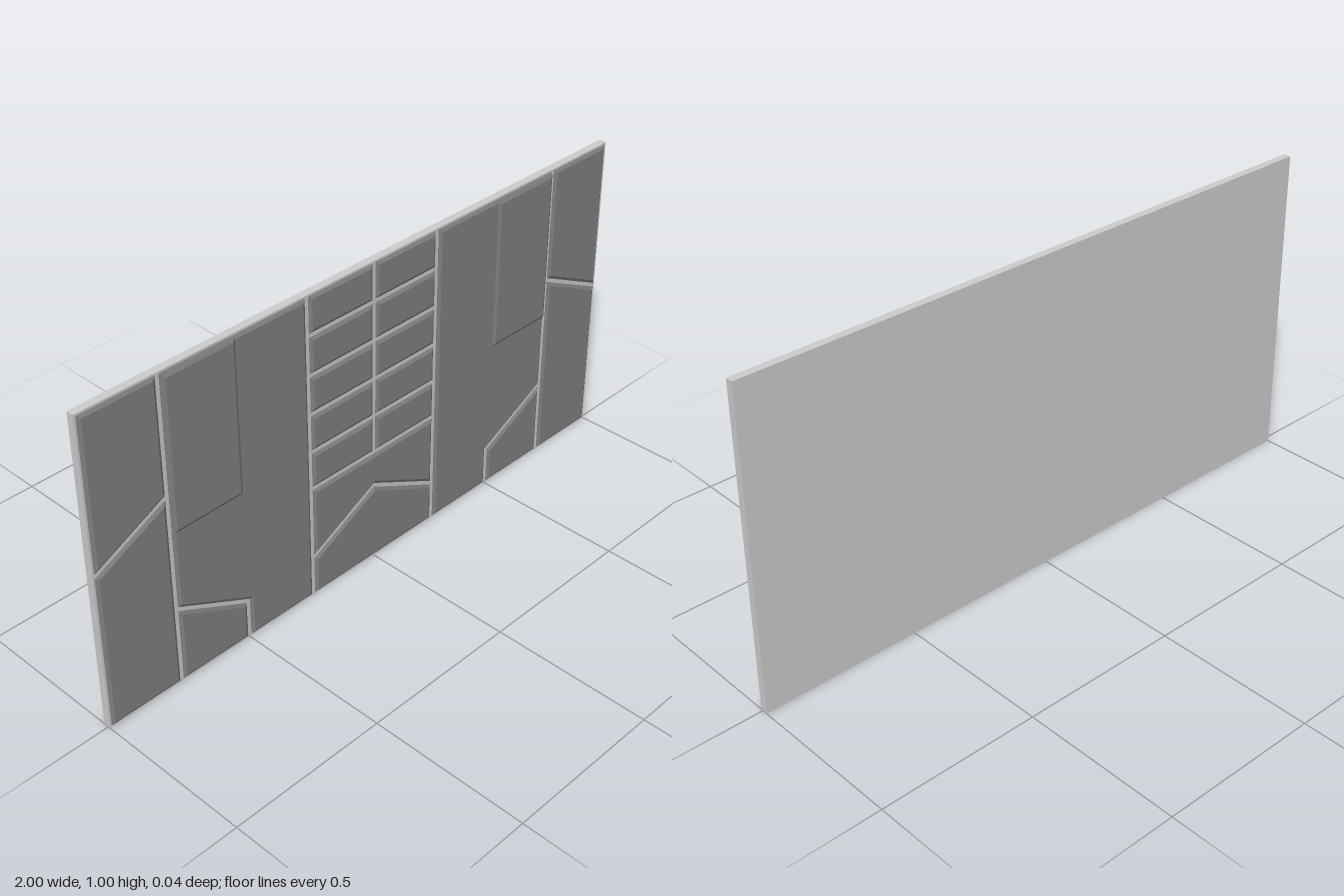
import * as THREE from 'three';

const BACK = -0.017, FACE = 0.007, PANEL = 0.013, PLATE = 0.018;
const GAP = 0.006, CHAMFER = 0.01;

// Move every edge of a counter-clockwise outline inward by t
function inset(pts, t) {
  const n = pts.length;
  const normal = (i) => {
    const a = pts[i % n], b = pts[(i + 1) % n];
    return new THREE.Vector2(a.y - b.y, b.x - a.x).normalize();
  };
  return pts.map((p, i) => {
    const n1 = normal(i + n - 1), n2 = normal(i);
    const k = t / (1 + n1.dot(n2));
    return p.clone().add(n1.add(n2).multiplyScalar(k));
  });
}

// Flat panel with chamfered sides, open at the back where it meets the slab
function panelGeometry(outline, z0, z1) {
  const low = inset(outline, GAP), high = inset(outline, GAP + CHAMFER);
  const pos = [];
  const put = (p, z) => pos.push(p.x, p.y, z);
  low.forEach((a, i) => {
    const j = (i + 1) % low.length;
    put(a, z0); put(low[j], z0); put(high[j], z1);
    put(a, z0); put(high[j], z1); put(high[i], z1);
  });
  for (const tri of THREE.ShapeUtils.triangulateShape(high, [])) {
    tri.forEach((k) => put(high[k], z1));
  }
  const geo = new THREE.BufferGeometry();
  geo.setAttribute('position', new THREE.Float32BufferAttribute(pos, 3));
  geo.computeVertexNormals();
  return geo;
}

export function createModel() {
  const group = new THREE.Group();
  const grey = new THREE.MeshStandardMaterial({ color: 0xcccccc });
  const dark = new THREE.MeshStandardMaterial({ color: 0x808080 });

  const addPanel = (name, coords, z0 = FACE, z1 = PANEL) => {
    const outline = coords.map(([x, y]) => new THREE.Vector2(x, y));
    const mesh = new THREE.Mesh(panelGeometry(outline, z0, z1), dark);
    mesh.name = name;
    group.add(mesh);
  };
  const addPair = (name, coords, z0, z1) => {
    addPanel(name + 'Right', coords, z0, z1);
    addPanel(name + 'Left', coords.map(([x, y]) => [-x, y]).reverse(), z0, z1);
  };

  // Backing slab
  const slab = new THREE.Mesh(new THREE.BoxGeometry(2, 1, FACE - BACK), grey);
  slab.position.set(0, 0.5, (FACE + BACK) / 2);
  slab.name = 'backingSlab';
  group.add(slab);

  // Outer columns, split by a diagonal seam
  addPair('outerLowerPanel', [[-1, 0], [-0.75, 0], [-0.75, 0.63], [-1, 0.508]]);
  addPair('outerUpperPanel', [[-1, 0.508], [-0.75, 0.63], [-0.75, 1], [-1, 1]]);

  // Wide columns with a clipped lower corner
  addPair('widePanel', [[-0.5, 0], [-0.25, 0], [-0.25, 1], [-0.75, 1], [-0.75, 0.255], [-0.5, 0.13]]);
  addPair('cornerPanel', [[-0.75, 0], [-0.5, 0], [-0.5, 0.13], [-0.75, 0.255]]);

  // Raised rectangular plates
  addPair('raisedPlate', [[-0.748, 0.5], [-0.497, 0.5], [-0.497, 0.996], [-0.748, 0.996]], PANEL, PLATE);

  // Centre column: five rows of small panels above a chevron
  for (let row = 0; row < 5; row++) {
    const y0 = 0.378 + row * 0.1244, y1 = y0 + 0.1244;
    addPair('smallPanel' + (row + 1), [[-0.25, y0], [0, y0], [0, y1], [-0.25, y1]]);
  }
  addPanel('chevronUpperPanel', [[-0.25, 0.134], [0, 0.26], [0.25, 0.134], [0.25, 0.378], [-0.25, 0.378]]);
  addPanel('chevronLowerPanel', [[-0.25, 0], [0.25, 0], [0.25, 0.134], [0, 0.26], [-0.25, 0.134]]);

  return group;
}
